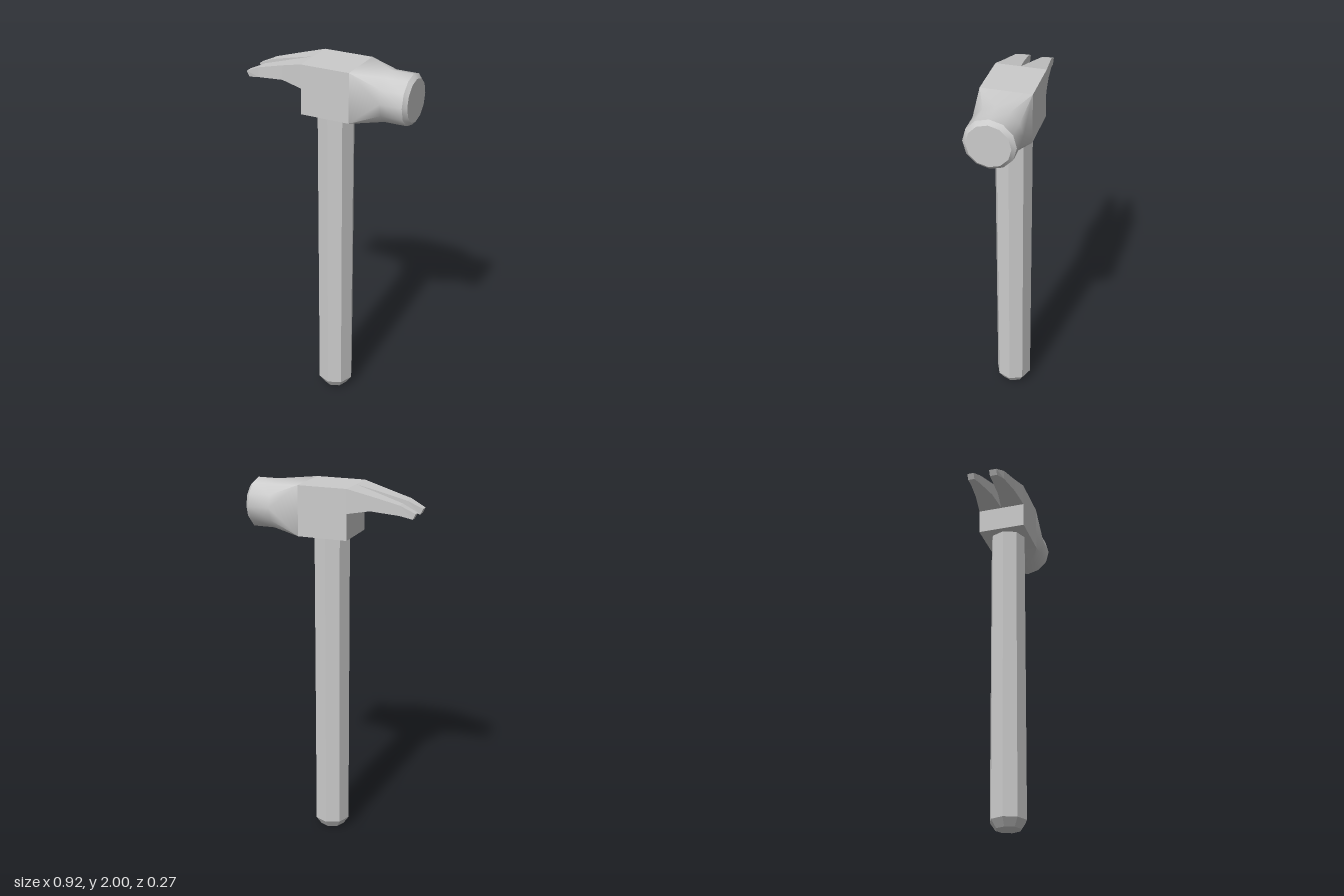
import * as THREE from 'three';
import { toCreasedNormals } from 'three/addons/utils/BufferGeometryUtils.js';

const R = 0.133;        // half thickness of the head
const CY = 2 - R;       // height of the head's axis
const ROOT = -0.113;    // where the claw leaves the block
const NECK = 0.156;     // where the block turns into the round neck

// Skin between rings of points (counter-clockwise seen from the end), with optional caps
function loft(rings, capStart, capEnd) {
  const pos = [];
  const tri = (a, b, c) => {
    if (a.equals(b) || b.equals(c) || a.equals(c)) return;
    for (const p of [a, b, c]) pos.push(p.x, p.y, p.z);
  };
  for (let k = 0; k + 1 < rings.length; k++) {
    const p = rings[k], q = rings[k + 1], n = p.length;
    for (let i = 0; i < n; i++) {
      const j = (i + 1) % n;
      tri(p[i], p[j], q[j]);
      tri(p[i], q[j], q[i]);
    }
  }
  const first = rings[0], last = rings[rings.length - 1];
  for (let i = 1; i + 1 < first.length; i++) {
    if (capStart) tri(first[0], first[i + 1], first[i]);
    if (capEnd) tri(last[0], last[i], last[i + 1]);
  }
  const g = new THREE.BufferGeometry();
  g.setAttribute('position', new THREE.Float32BufferAttribute(pos, 3));
  g.computeVertexNormals();
  return g;
}

// Twelve-sided ring around the head's axis
function circleRing(x, r) {
  return Array.from({ length: 12 }, (_, i) => {
    const a = (i * Math.PI) / 6;
    return new THREE.Vector3(x, CY + r * Math.sin(a), -r * Math.cos(a));
  });
}

// Square ring: each corner serves three of the twelve points
function squareRing(x) {
  return Array.from({ length: 12 }, (_, i) => {
    const a = Math.floor(i / 3) * (Math.PI / 2) + Math.PI / 4;
    return new THREE.Vector3(x, CY + R * Math.sign(Math.sin(a)), -R * Math.sign(Math.cos(a)));
  });
}

export function createModel() {
  const group = new THREE.Group();
  const smooth = new THREE.MeshStandardMaterial({ color: 0xcccccc });
  const flat = new THREE.MeshStandardMaterial({ color: 0xcccccc, flatShading: true });
  const add = (name, geometry, material, parent = group) => {
    const mesh = new THREE.Mesh(geometry, material);
    mesh.name = name;
    parent.add(mesh);
    return mesh;
  };

  // Octagonal handle with a chamfered butt
  const profile = [[0, 0], [0.07, 0.01], [0.1, 0.055], [0.1, 1.75]]
    .map(([r, y]) => new THREE.Vector2(r, y));
  add('handle', new THREE.LatheGeometry(profile, 8), flat).position.x = 0.019;

  const head = new THREE.Group();
  head.name = 'head';
  group.add(head);

  // Central block
  const block = new THREE.BoxGeometry(NECK - ROOT, 2 * R, 2 * R);
  add('headBlock', block, flat, head).position.set((NECK + ROOT) / 2, CY, 0);

  // Neck blending from square to round, then the striking face with its bevel
  const neck = loft([squareRing(NECK), circleRing(0.322, R), circleRing(0.44, R)]);
  add('neck', toCreasedNormals(neck, 0.9), smooth, head);
  const face = loft([circleRing(0.44, R), circleRing(0.46, 0.112)], false, true);
  add('strikingFace', toCreasedNormals(face, 0.6), smooth, head);

  // Claw stations, tip to root: top x, top y, bottom x, bottom y
  const stations = [
    [-0.462, 1.892, -0.447, 1.862],
    [-0.379, 1.93, -0.379, 1.877],
    [-0.23, 1.97, -0.23, 1.893],
    [ROOT, 2, ROOT, 1.873],
  ];
  // Inner and outer z of each prong at the same stations
  const prongs = {
    leftSideProng: [[0.04, 0.081], [0.031, 0.1], [0.016, 0.115], [0, R]],
    rightSideProng: [[-0.086, -0.05], [-0.093, -0.041], [-0.115, -0.018], [-R, 0]],
  };
  for (const [name, widths] of Object.entries(prongs)) {
    const rings = stations.map(([tx, ty, bx, by], i) => {
      const [z0, z1] = widths[i];
      return [
        new THREE.Vector3(bx, by, z0),
        new THREE.Vector3(tx, ty, z0),
        new THREE.Vector3(tx, ty, z1),
        new THREE.Vector3(bx, by, z1),
      ];
    });
    add(name, loft(rings, true, false), flat, head);
  }

  return group;
}
